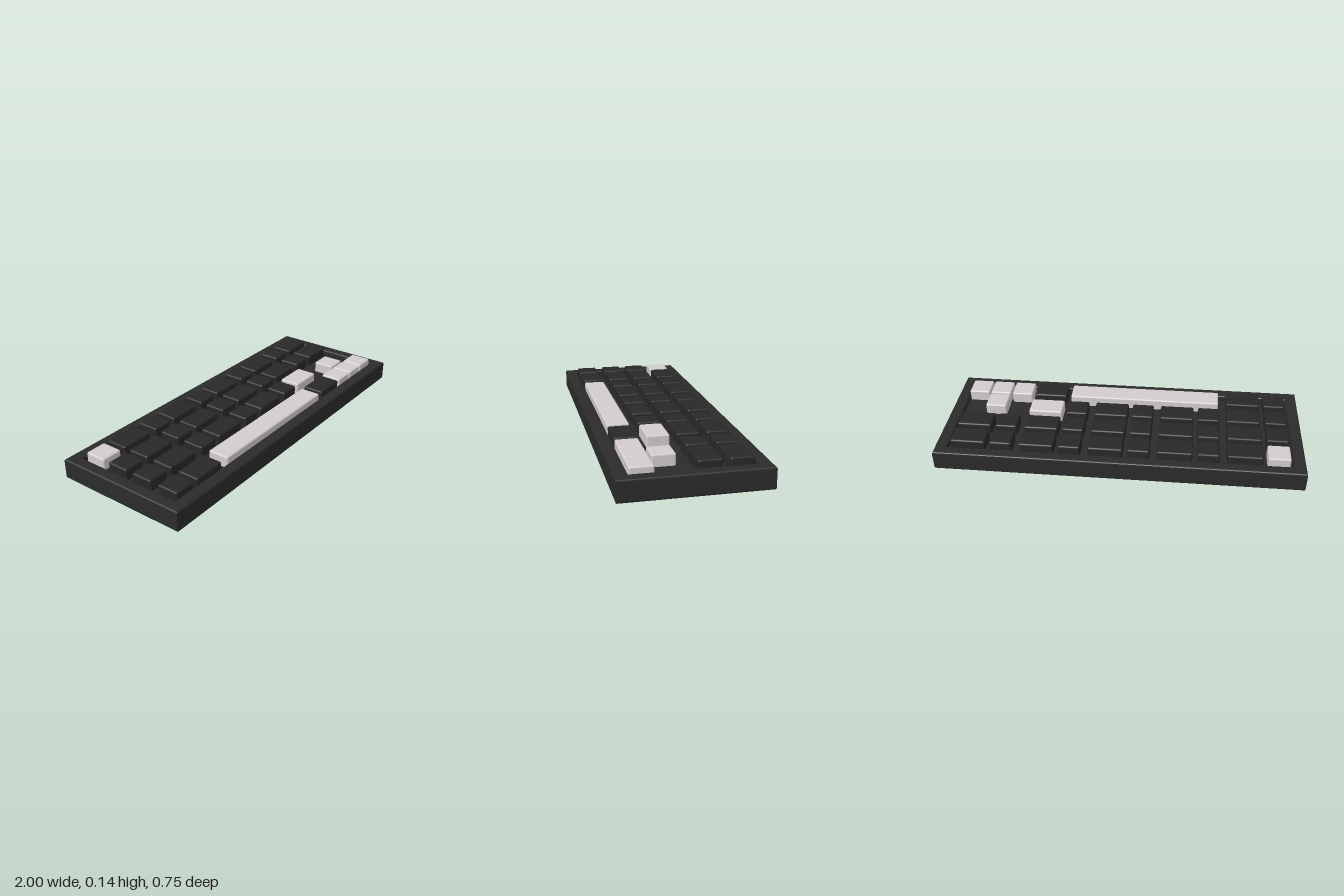
import * as THREE from 'three';
import { RoundedBoxGeometry } from 'three/addons/geometries/RoundedBoxGeometry.js';

const FLOOR = 0.08, TOP = 0.143, CASE_H = 0.113;

function rect(PathType, x0, x1, z0, z1) {
  // shape y becomes -z once the extrusion is laid flat
  const p = new PathType();
  p.moveTo(x0, -z1);
  p.lineTo(x1, -z1);
  p.lineTo(x1, -z0);
  p.lineTo(x0, -z0);
  p.closePath();
  return p;
}

export function createModel() {
  const mat = (name, color) => {
    const m = new THREE.MeshStandardMaterial({ color });
    m.name = name;
    return m;
  };
  const caseMat = mat('charcoal case', 0x2b2b2b);
  const darkMat = mat('dark keycap', 0x282829);
  const lightMat = mat('pale grey keycap', 0xd3cccf);

  const model = new THREE.Group();
  model.name = 'keyboard';
  const add = (name, geo, material, parent = model) => {
    const mesh = new THREE.Mesh(geo, material);
    mesh.name = name;
    parent.add(mesh);
    return mesh;
  };

  // Case wall with softened edges around the key well
  const b = 0.01;
  const outline = rect(THREE.Shape, -1 + b, 1 - b, -0.373 + b, 0.373 - b);
  outline.holes.push(rect(THREE.Path, -0.945, 0.945, -0.322, 0.315));
  const frame = new THREE.ExtrudeGeometry(outline, {
    depth: CASE_H - 2 * b, bevelThickness: b, bevelSize: b, bevelSegments: 3,
  });
  frame.rotateX(-Math.PI / 2);
  frame.translate(0, b, 0);
  add('caseFrame', frame, caseMat);

  // Solid base that forms the floor of the well
  add('casePlate', new THREE.BoxGeometry(1.93, FLOOR, 0.68), caseMat)
    .position.set(0, FLOOR / 2 + 0.0005, 0);

  // Keycaps, sunk slightly into the floor so only the upper edges look rounded
  const keys = new THREE.Group();
  keys.name = 'keys';
  model.add(keys);
  const addKey = (name, x, z, width, material) => {
    const h = TOP - FLOOR + 0.015;
    add(name, new RoundedBoxGeometry(width, h, 0.12, 3, 0.01), material, keys)
      .position.set(x, TOP - h / 2, z);
  };

  // Alternating narrow and wide keys in each row
  const SMALL = 0.12, WIDE = 0.19, PITCH = 0.376;
  const rowZ = [-0.236, -0.081, 0.077, 0.242];
  [5, 5, 4, 1].forEach((pairs, row) => {
    for (let i = 0; i < pairs; i++) {
      const corner = row === 0 && i === 0;
      const enter = row === 2 && i === 3;
      addKey(corner ? 'escapeKey' : 'smallKey', -0.86 + i * PITCH, rowZ[row], SMALL, corner ? lightMat : darkMat);
      addKey(enter ? 'enterKey' : 'wideKey', -0.68 + i * PITCH, rowZ[row], WIDE, enter ? lightMat : darkMat);
    }
  });

  // Rest of the bottom row and the arrow cluster
  addKey('spaceBar', -0.108, rowZ[3], 0.865, lightMat);
  addKey('wideKey', 0.445, rowZ[3], WIDE, darkMat);
  for (const x of [0.615, 0.745, 0.873]) addKey('arrowKey', x, rowZ[3], SMALL, lightMat);
  addKey('arrowUpKey', 0.745, 0.111, SMALL, lightMat);

  return model;
}
